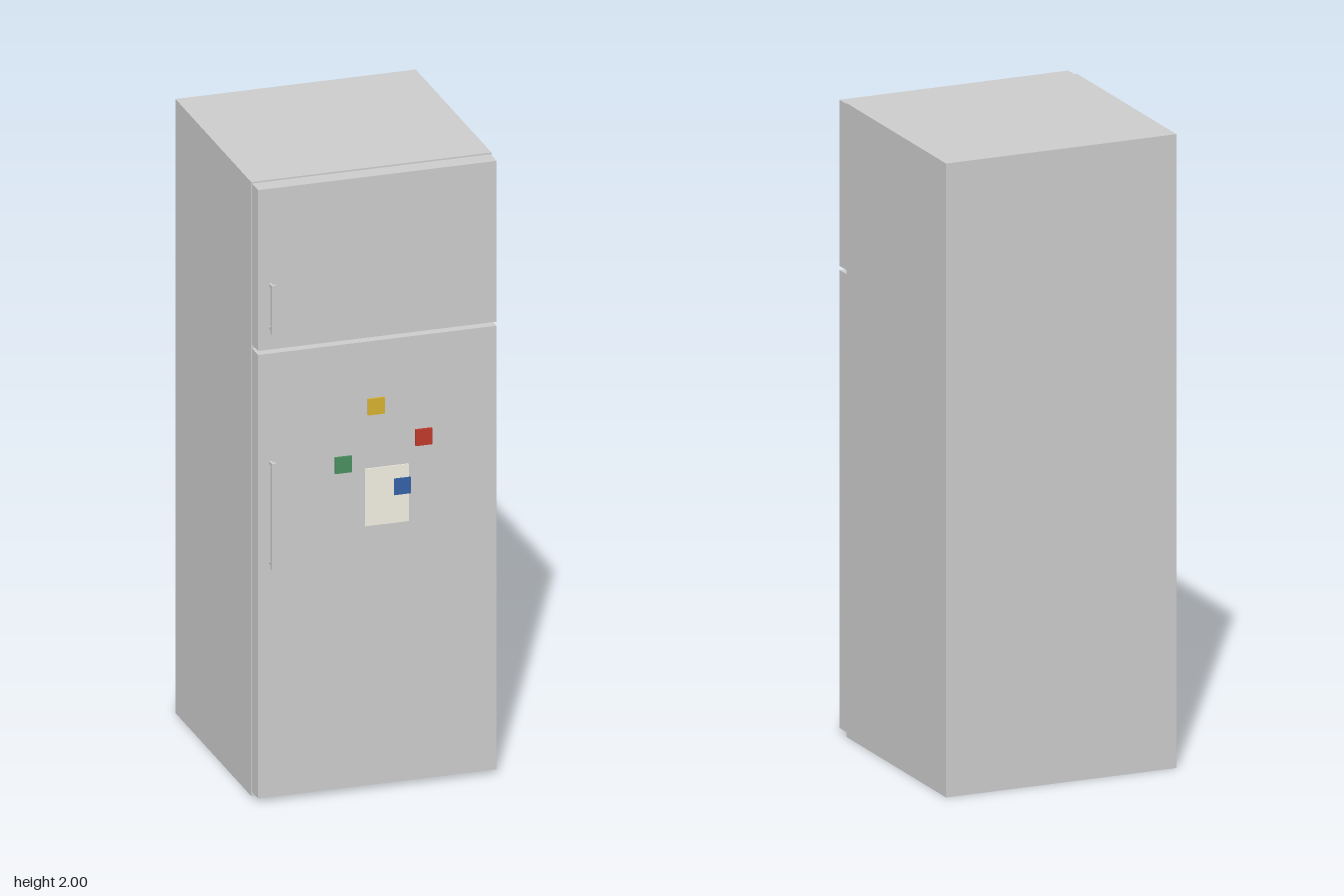
import * as THREE from 'three';

const grey = new THREE.MeshStandardMaterial({ color: 0xcccccc });

// Box given by its limits on each axis
function box(name, [x0, x1], [y0, y1], [z0, z1], material = grey) {
  const mesh = new THREE.Mesh(new THREE.BoxGeometry(x1 - x0, y1 - y0, z1 - z0), material);
  mesh.position.set((x0 + x1) / 2, (y0 + y1) / 2, (z0 + z1) / 2);
  mesh.name = name;
  return mesh;
}

const DOOR_FRONT = 0.372;

// Vertical bar held off the door by two short posts
function handle(name, y0, y1) {
  const group = new THREE.Group();
  group.name = name;
  const x = -0.342;
  group.add(box('handleBar', [x - 0.0065, x + 0.0065], [y0, y1], [0.395, 0.408]));
  for (const y of [y0 + 0.013, y1 - 0.009]) {
    group.add(box('handlePost', [x - 0.0045, x + 0.0045], [y - 0.0045, y + 0.0045], [DOOR_FRONT - 0.002, 0.397]));
  }
  return group;
}

export function createModel() {
  const model = new THREE.Group();
  model.name = 'refrigerator';

  // Cabinet and the two doors
  model.add(box('cabinet', [-0.384, 0.384], [0, 2], [-0.409, 0.314]));
  model.add(box('fridgeDoor', [-0.381, 0.381], [0.013, 1.458], [0.314, DOOR_FRONT]));
  model.add(box('freezerDoor', [-0.381, 0.381], [1.471, 1.995], [0.314, DOOR_FRONT]));

  // Handles
  model.add(handle('fridgeHandle', 0.765, 1.112));
  model.add(handle('freezerHandle', 1.531, 1.691));

  // Note pinned on the lower door
  const paper = new THREE.MeshStandardMaterial({ color: 0xf2eee2 });
  model.add(box('note', [-0.04, 0.1], [0.858, 1.045], [DOOR_FRONT, 0.375], paper));

  // Square magnets
  const magnets = [
    ['yellowMagnet', -0.005, 1.246, 0xd4b030],
    ['redMagnet', 0.147, 1.127, 0xc0392b],
    ['greenMagnet', -0.11, 1.068, 0x4a8f5f],
    ['blueMagnet', 0.078, 0.976, 0x3560a5],
  ];
  for (const [name, x, y, color] of magnets) {
    const material = new THREE.MeshStandardMaterial({ color });
    model.add(box(name, [x - 0.0265, x + 0.0265], [y - 0.0265, y + 0.0265], [DOOR_FRONT, 0.379], material));
  }
  return model;
}
